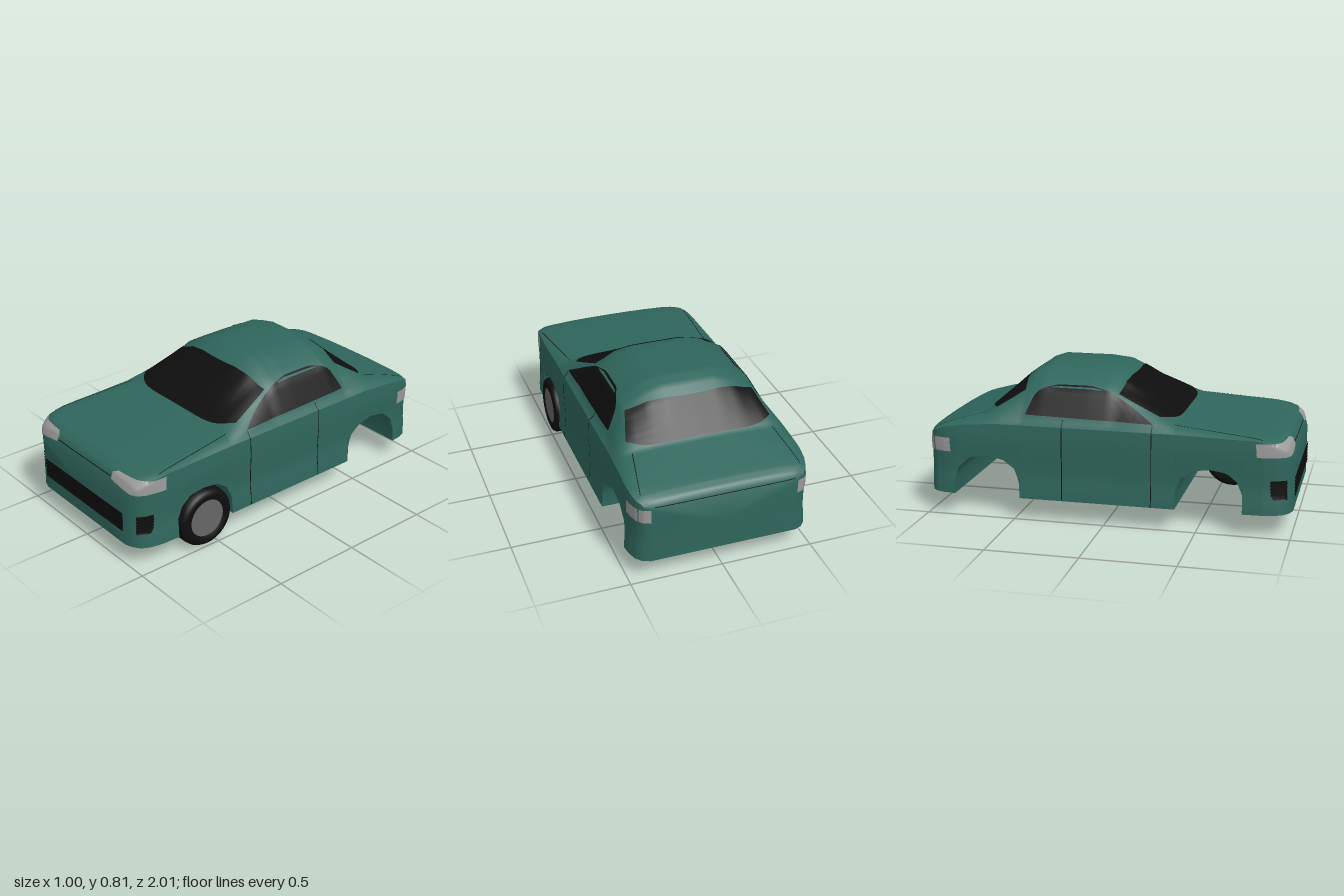
import * as THREE from 'three';
import { toCreasedNormals } from 'three/addons/utils/BufferGeometryUtils.js';

const PAINT = 0x2f665c, DARK = 0x0e0e0e, LIGHT = 0x9a9a9a;
const { lerp, clamp } = THREE.MathUtils;

// Piecewise-linear lookup in [position, value] keys with rising positions
function at(keys, p) {
  if (p <= keys[0][0]) return keys[0][1];
  for (let i = 1; i < keys.length; i++) {
    const [a, va] = keys[i - 1], [b, vb] = keys[i];
    if (p <= b) return lerp(va, vb, (p - a) / (b - a));
  }
  return keys[keys.length - 1][1];
}

// Body outlines along z: roof line, shoulder line, half width and lower edge with wheel arches
const TOP = [[-1, 0.455], [-0.985, 0.48], [-0.94, 0.503], [-0.85, 0.53], [-0.68, 0.585], [-0.5, 0.74], [-0.44, 0.785],
  [-0.37, 0.81], [-0.1, 0.81], [0, 0.80], [0.085, 0.755], [0.38, 0.575], [0.86, 0.533], [0.93, 0.522], [0.97, 0.495],
  [0.985, 0.465], [1, 0.415]];
const SHOULDER = [[-1, 0.435], [-0.97, 0.465], [-0.9, 0.49], [-0.8, 0.51], [-0.6, 0.525], [0.4, 0.525], [0.8, 0.515],
  [0.9, 0.5], [0.97, 0.46], [1, 0.4]];
const WIDTH = [[-1, 0.39], [-0.985, 0.43], [-0.95, 0.46], [-0.9, 0.476], [-0.83, 0.484], [0.7, 0.484], [0.85, 0.478],
  [0.92, 0.462], [0.96, 0.44], [0.985, 0.405], [1, 0.36]];
const BOTTOM = [[-0.842, 0.12], [-0.84, 0.2], [-0.82, 0.27], [-0.75, 0.33], [-0.65, 0.348], [-0.56, 0.325], [-0.5, 0.28],
  [-0.472, 0.2], [-0.47, 0.12], [0.386, 0.12], [0.388, 0.22], [0.42, 0.29], [0.48, 0.335], [0.57, 0.348], [0.66, 0.335],
  [0.715, 0.29], [0.743, 0.22], [0.745, 0.12]];
// Side bulge by height: flared sill, slight waist
const FLARE = [[0.12, 0.008], [0.19, 0.004], [0.23, -0.003], [0.32, -0.003], [0.43, 0.002], [0.53, -0.005]];
// Upper section as [x, height fraction]: full cabin, and low bonnet or boot
const CABIN = [[0.455, 0.07], [0.445, 0.155], [0.405, 0.41], [0.372, 0.62], [0.358, 0.68], [0.30, 0.776], [0.24, 0.91], [0.14, 1], [0, 1]];
const DECK = [[0.465, 0.25], [0.45, 0.45], [0.43, 0.6], [0.4, 0.7], [0.37, 0.78], [0.3, 0.86], [0.24, 0.93], [0.14, 0.98], [0, 1]];

// Closed cross-section at z, from the middle of the floor up the left side and down the right
function section(z) {
  const top = at(TOP, z), sh = at(SHOULDER, z), w = at(WIDTH, z), bot = at(BOTTOM, z);
  const half = [[0, bot], [w - 0.03, bot]];
  for (const t of [0, 0.06, 0.18, 0.27, 0.4, 0.55, 0.75, 0.9, 1]) {
    const y = lerp(bot, sh, t);
    half.push([w + at(FLARE, y), y]);
  }
  const k = clamp((top - 0.57) / 0.2, 0, 1);
  CABIN.forEach(([x, f], i) => {
    half.push([lerp(DECK[i][0], x, k) * w / 0.484, lerp(sh, top, lerp(DECK[i][1], f, k))]);
  });
  const mirror = half.slice(1, -1).reverse().map(([x, y]) => [-x, y]);
  return [...half, ...mirror].map(([x, y]) => [x, y, z]);
}

// Triangles over rows of points
function loft(rows, closed) {
  const n = rows[0].length, index = [];
  for (let i = 0; i < rows.length - 1; i++) {
    for (let j = 0; j < (closed ? n : n - 1); j++) {
      const k = (j + 1) % n, a = i * n + j, b = i * n + k;
      index.push(a, b, a + n, b, b + n, a + n);
    }
  }
  const g = new THREE.BufferGeometry();
  g.setAttribute('position', new THREE.Float32BufferAttribute(rows.flat(2), 3));
  g.setIndex(index);
  return g;
}

function makeMesh(name, geometry, color, side = THREE.FrontSide) {
  const mesh = new THREE.Mesh(geometry, new THREE.MeshStandardMaterial({ color, side }));
  mesh.name = name;
  return mesh;
}

function makeBody() {
  const zs = [TOP, SHOULDER, WIDTH, BOTTOM].flat().map(([z]) => z);
  for (let i = 0; i <= 66; i++) zs.push(Math.round((i / 33 - 1) * 1000) / 1000);
  const stations = [...new Set(zs)].sort((a, b) => a - b);
  const rows = stations.map(section);
  // close nose and tail
  const cap = (row, z) => row.map(() => [0, 0.28, z]);
  rows.unshift(cap(rows[0], -1));
  rows.push(cap(rows[0], 1));
  return makeMesh('body', toCreasedNormals(loft(rows, true), 0.6), PAINT);
}

export function createModel() {
  const car = new THREE.Group();
  car.name = 'car';
  const shell = new THREE.Group();
  shell.name = 'bodyShell';
  const body = makeBody();
  body.updateMatrixWorld();
  shell.add(body);

  // Panel laid on the body: grid of rays; place(u, v) gives each start, u and v run 0..1
  const ray = new THREE.Raycaster();
  function panel(name, color, nu, nv, dir, place, lift = () => 0.004, side = 1) {
    const d = new THREE.Vector3(dir[0] * side, dir[1], dir[2]).normalize();
    const rows = [];
    let last = new THREE.Vector3();
    for (let i = 0; i <= nu; i++) {
      const row = [];
      for (let j = 0; j <= nv; j++) {
        const [x, y, z] = place(i / nu, j / nv);
        ray.set(new THREE.Vector3(x * side, y, z), d);
        const hit = ray.intersectObject(body)[0];
        if (hit) last = hit.point;
        row.push(last.clone().addScaledVector(d, -lift(j)).toArray());
      }
      rows.push(row);
    }
    const g = loft(rows, false);
    g.computeVertexNormals();
    shell.add(makeMesh(name, g, color, THREE.DoubleSide));
  }
  const down = [0, -1, 0], back = [0, 0, -1], inward = [-1, 0, 0];
  const thin = () => 0.002;

  // Windscreen and rear window
  const screen = (base, round, top, bow) => (u, v) => {
    const s = u * 2 - 1;
    const z = lerp(base + round * Math.abs(s) ** 6, top + bow * s * s, v);
    return [s * lerp(0.4, 0.355, v), 2, z];
  };
  panel('windscreen', DARK, 30, 16, down, screen(0.38, -0.09, 0.085, -0.03));
  panel('rearWindow', DARK, 30, 16, down, screen(-0.675, 0.06, -0.5, 0.035));

  // Grille with slats, and the bonnet and boot shut lines
  const slat = (j) => (j % 2 ? 0.003 : 0.008);
  panel('grille', DARK, 24, 12, back, (u, v) => [lerp(-0.36, 0.36, u), lerp(0.2, 0.31, v), 2], slat);
  panel('bonnetFrontSeam', DARK, 16, 1, back, (u, v) => [lerp(-0.24, 0.24, u), 0.464 + v * 0.004, 2], thin);
  panel('bootRearSeam', DARK, 16, 1, [0, 0, 1], (u, v) => [lerp(-0.38, 0.38, u), 0.444 + v * 0.004, -2], thin);

  const WINDOW_TOP = [[-0.445, 0.58], [-0.435, 0.61], [-0.4, 0.69], [-0.35, 0.718], [-0.28, 0.73], [-0.1, 0.73], [0, 0.712],
    [0.1, 0.66], [0.255, 0.568]];
  for (const side of [1, -1]) {
    const tag = side > 0 ? 'left' : 'right';
    const add = (name, color, nu, nv, dir, place, lift) => panel(tag + name, color, nu, nv, dir, place, lift, side);
    add('SideWindow', DARK, 36, 8, inward, (u, v) => {
      const z = lerp(-0.445, 0.255, u);
      return [2, lerp(lerp(0.578, 0.565, u), at(WINDOW_TOP, z), v), z];
    });
    for (const [name, z] of [['DoorFrontSeam', 0.255], ['DoorRearSeam', -0.235]]) {
      add(name, DARK, 1, 24, inward, (u, v) => [2, lerp(0.124, 0.562, v), z + u * 0.005], thin);
    }
    add('BonnetSeam', DARK, 24, 1, down, (u, v) => [lerp(0.41, 0.455, u) + v * 0.004, 2, lerp(0.37, 0.84, u)], thin);
    add('BootSeam', DARK, 18, 1, down, (u, v) => [lerp(0.385, 0.43, u) + v * 0.004, 2, lerp(-0.68, -0.94, u)], thin);
    // Lamps wrap round the corners, so they are laid on diagonally
    add('Headlight', LIGHT, 24, 8, [-0.4, 0, -1], (u, v) =>
      [lerp(0.32, 0.62, u), lerp(lerp(0.455, 0.43, Math.min(1, u * 1.6)), lerp(0.49, 0.502, Math.min(1, u * 8)), v), 1.16]);
    for (const [name, u0, u1] of [['RearTailLight', 0, 0.42], ['SideTailLight', 0.46, 1]]) {
      add(name, LIGHT, 10, 4, [-0.65, 0, 0.75], (u, v) => {
        const t = lerp(u0, u1, u);
        return [lerp(0.46, 0.57, t), lerp(0.355, 0.432, v), lerp(-1.075, -0.965, t)];
      });
    }
    add('SideVent', DARK, 8, 12, back, (u, v) => [lerp(0.43, 0.468, u), lerp(0.2, 0.305, v), 2], slat);
  }
  shell.position.x = -0.0075;
  car.add(shell);

  // Single front wheel on the left, axle along x
  const wheel = new THREE.Group();
  wheel.name = 'frontLeftWheel';
  const profile = [[0.1, -0.07], [0.135, -0.073], [0.155, -0.066], [0.164, -0.052], [0.167, -0.03], [0.167, 0.03],
    [0.164, 0.052], [0.155, 0.066], [0.135, 0.073], [0.108, 0.07], [0.104, 0.06]].map(([r, y]) => new THREE.Vector2(r, y));
  const tyre = makeMesh('tyre', new THREE.LatheGeometry(profile, 40), DARK, THREE.DoubleSide);
  const rim = makeMesh('rim', new THREE.CylinderGeometry(0.106, 0.106, 0.132, 40), 0x666666);
  wheel.add(tyre, rim);
  wheel.rotation.z = -Math.PI / 2;
  wheel.position.set(0.425, 0.167, 0.567);
  car.add(wheel);
  return car;
}
